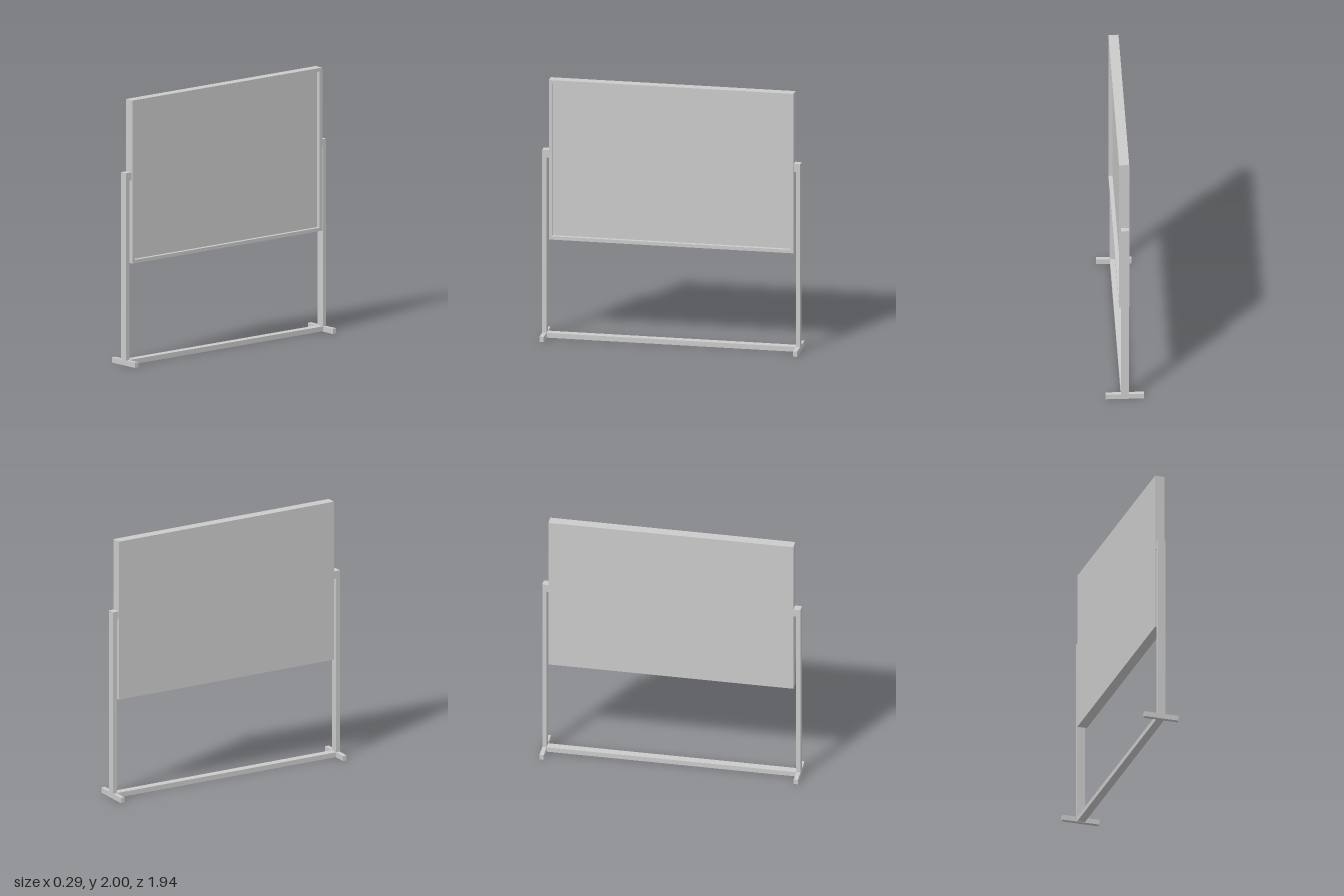
import * as THREE from 'three';

const material = new THREE.MeshStandardMaterial({ color: 0xcccccc, flatShading: true });

// Box given by its lowest and highest corner
function box(name, [x0, y0, z0], [x1, y1, z1]) {
  const mesh = new THREE.Mesh(new THREE.BoxGeometry(x1 - x0, y1 - y0, z1 - z0), material);
  mesh.name = name;
  mesh.position.set((x0 + x1) / 2, (y0 + y1) / 2, (z0 + z1) / 2);
  return mesh;
}

// Closed rectangle outline centred on the origin
function rectangle(Type, width, height) {
  const w = width / 2, h = height / 2;
  return new Type([[-w, -h], [w, -h], [w, h], [-w, h]].map(([x, y]) => new THREE.Vector2(x, y)));
}

export function createModel() {
  const model = new THREE.Group();
  model.name = 'standingBoard';

  // Board: a rim around a panel that is recessed on the +x side
  const board = new THREE.Group();
  board.name = 'board';
  const back = -0.036, face = 0.039, recess = 0.03;
  const bottom = 0.767, top = 2, rim = 0.026;
  const length = 1.845, height = top - bottom;
  const outline = rectangle(THREE.Shape, length, height);
  outline.holes.push(rectangle(THREE.Path, length - 2 * rim, height - 2 * rim));
  const frameGeometry = new THREE.ExtrudeGeometry(outline, { depth: face - back, bevelEnabled: false });
  frameGeometry.rotateY(Math.PI / 2);
  const frame = new THREE.Mesh(frameGeometry, material);
  frame.name = 'boardFrame';
  frame.position.set(back, (bottom + top) / 2, 0);
  const inner = length / 2 - rim;
  board.add(frame, box('boardPanel', [back, bottom + rim, -inner], [face - recess, top - rim, inner]));
  board.position.z = -0.003;
  model.add(board);

  // Stand: at each end a foot, a post and a bracket that holds the board
  const px0 = -0.032, px1 = 0.027, postTop = 1.455, barHeight = 0.04;
  const zOut = 0.972, zIn = 0.94;
  const ends = [
    { side: 1, foot: [-0.134, 0.13], boardEdge: 0.919 },
    { side: -1, foot: [-0.145, 0.141], boardEdge: 0.925 },
  ];
  for (const { side, foot, boardEdge } of ends) {
    const span = (a, b) => [Math.min(side * a, side * b), Math.max(side * a, side * b)];
    const [z0, z1] = span(zIn, zOut);
    const [b0, b1] = span(boardEdge, zIn);
    const end = new THREE.Group();
    end.name = side > 0 ? 'frontSupport' : 'backSupport';
    end.add(
      box('foot', [foot[0], 0, z0], [foot[1], barHeight, z1]),
      box('post', [px0, barHeight, z0], [px1, postTop, z1]),
      box('bracket', [px0, 1.395, b0], [px1, postTop, b1]),
    );
    model.add(end);
  }

  // Rail joining the two feet
  model.add(box('bottomRail', [px0, 0.003, -zIn], [px1, barHeight, zIn]));

  return model;
}
